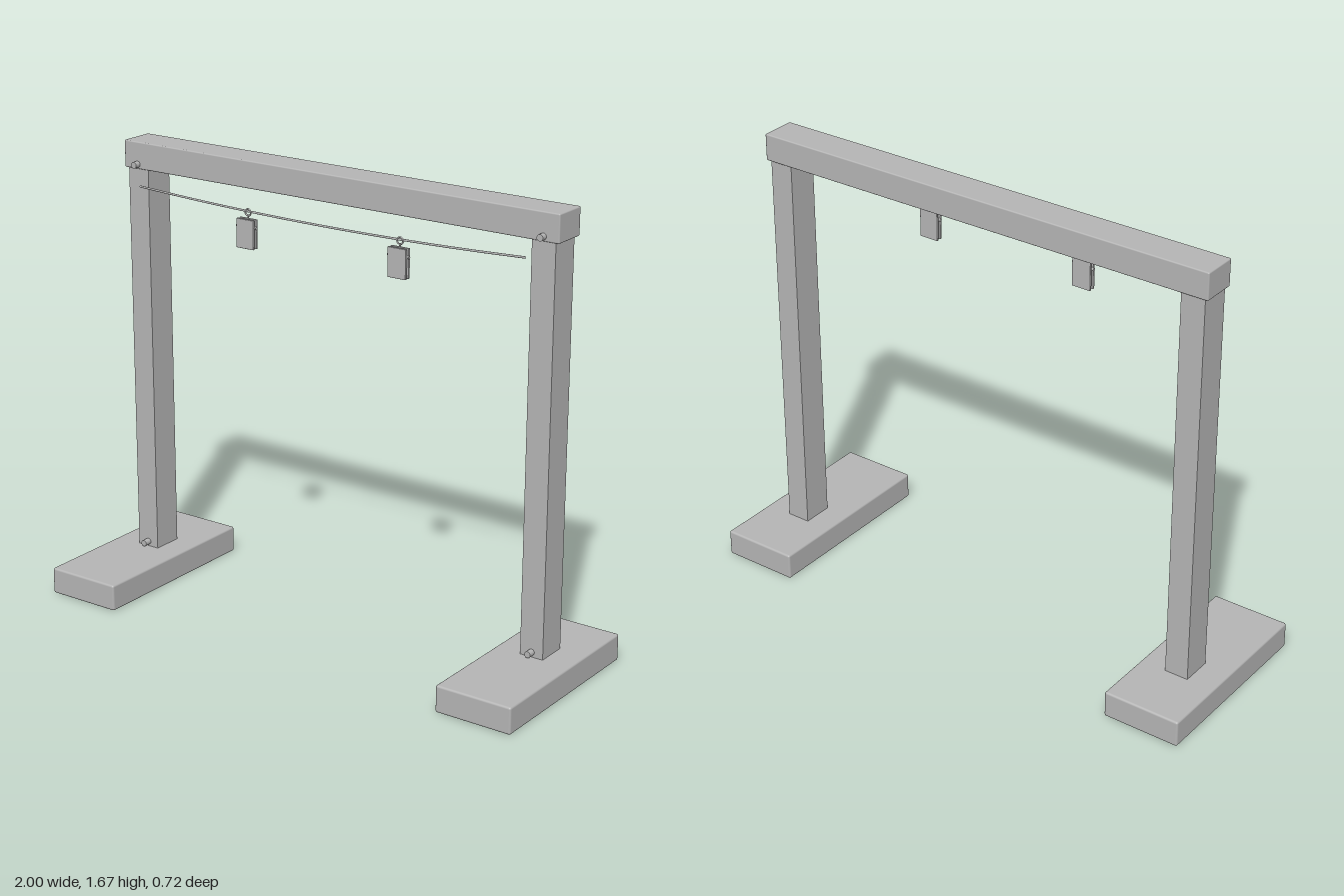
import * as THREE from 'three';
import { RoundedBoxGeometry } from 'three/addons/geometries/RoundedBoxGeometry.js';

const grey = new THREE.MeshStandardMaterial({ color: 0xb4b4b4 });
grey.name = 'plain grey';

function add(parent, name, geometry, x, y, z) {
  const mesh = new THREE.Mesh(geometry, grey);
  mesh.name = name;
  mesh.position.set(x, y, z);
  parent.add(mesh);
  return mesh;
}

export function createModel() {
  const model = new THREE.Group();
  model.name = 'hangingFrame';

  // Top beam
  add(model, 'beam', new RoundedBoxGeometry(1.82, 0.1, 0.132, 2, 0.005), 0, 1.62, -0.077);

  for (const side of [-1, 1]) {
    // Foot and post
    add(model, 'foot', new RoundedBoxGeometry(0.295, 0.1, 0.72, 2, 0.008), side * 0.8525, 0.05, 0);
    add(model, 'post', new THREE.BoxGeometry(0.09, 1.49, 0.117), side * 0.85, 0.835, -0.075);

    // Bolts at the top and bottom of the post
    for (const y of [0.118, 1.587]) {
      const bolt = add(model, 'bolt', new THREE.CylinderGeometry(0.012, 0.012, 0.028, 16), side * 0.85, y, -0.003);
      bolt.rotation.x = Math.PI / 2;
    }

    // Hanging tag: two plates joined by a pin, with a ring round the line
    const tag = new THREE.Group();
    tag.name = 'tag';
    tag.position.set(side * 0.32, 0, 0);
    for (const z of [0.0245, 0.0425]) {
      add(tag, 'plate', new RoundedBoxGeometry(0.074, 0.106, 0.009, 2, 0.002), 0, 1.423, z);
    }
    const pin = add(tag, 'pin', new THREE.CylinderGeometry(0.006, 0.006, 0.086, 10), 0, 1.447, 0.034);
    pin.rotation.z = Math.PI / 2;
    add(tag, 'ring', new THREE.TorusGeometry(0.012, 0.003, 8, 20), 0, 1.497, 0.026);
    add(tag, 'ringStem', new THREE.CylinderGeometry(0.003, 0.003, 0.02, 8), 0, 1.478, 0.026);
    model.add(tag);
  }

  // Sagging line
  const points = [];
  for (let i = 0; i <= 8; i++) {
    const x = -0.81 + (1.62 * i) / 8;
    points.push(new THREE.Vector3(x, 1.497 + 0.021 * (x / 0.81) ** 2, 0.024));
  }
  add(model, 'line', new THREE.TubeGeometry(new THREE.CatmullRomCurve3(points), 40, 0.004, 8), 0, 0, 0);

  return model;
}
